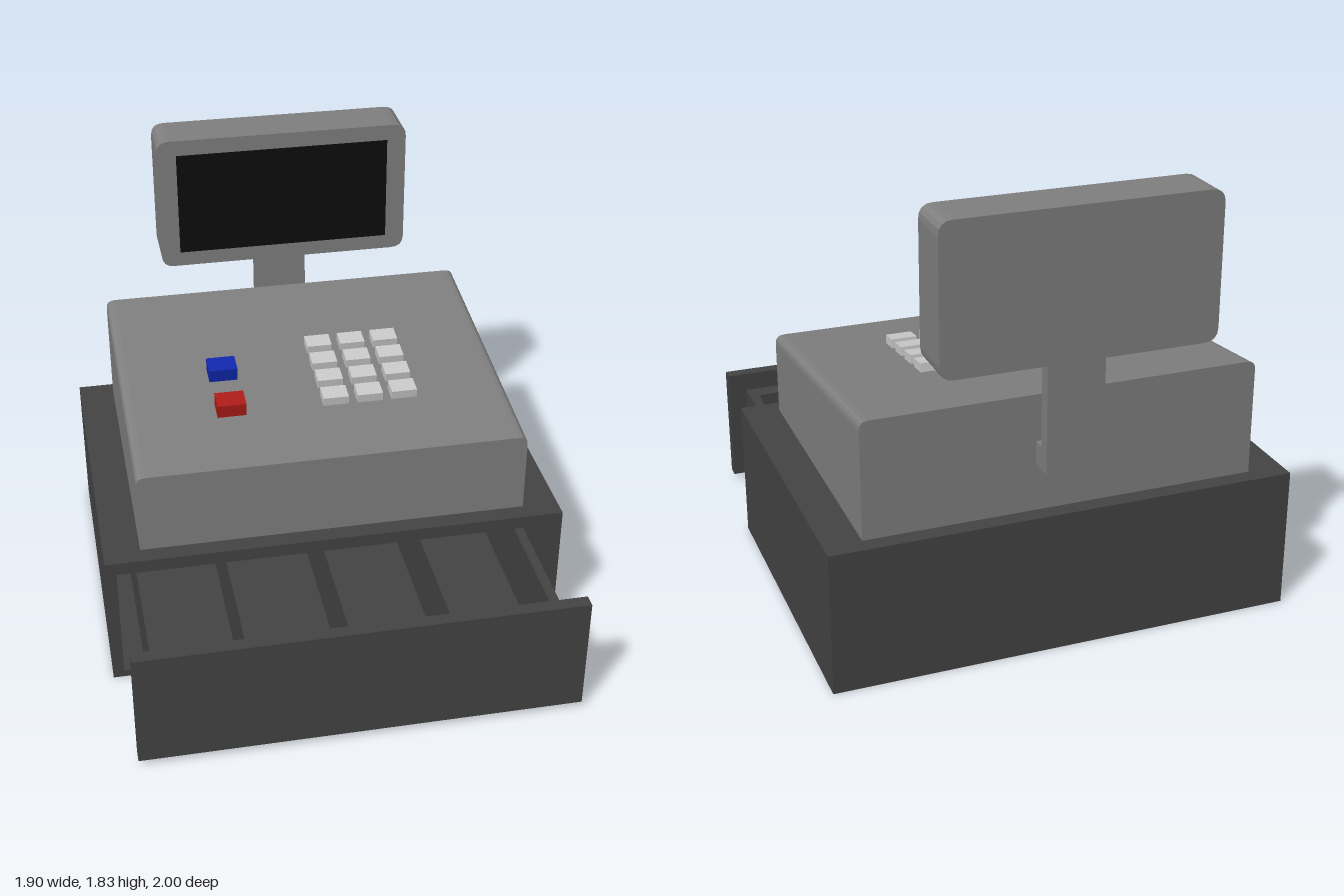
import * as THREE from 'three';

const mat = (color) => new THREE.MeshStandardMaterial({ color });

export function createModel() {
  const model = new THREE.Group();
  const dark = mat(0x444444), grey = mat(0x808080), light = mat(0xcccccc);
  const black = mat(0x0c0c0c), red = mat(0xb01c18), blue = mat(0x1028b0);

  const add = (name, geometry, material, parent = model) => {
    const mesh = new THREE.Mesh(geometry, material);
    mesh.name = name;
    parent.add(mesh);
    return mesh;
  };
  // Box given by its extents on each axis
  const block = (name, x0, x1, y0, y1, z0, z1, material, parent) => {
    const mesh = add(name, new THREE.BoxGeometry(x1 - x0, y1 - y0, z1 - z0), material, parent);
    mesh.position.set((x0 + x1) / 2, (y0 + y1) / 2, (z0 + z1) / 2);
    return mesh;
  };
  // Symmetric rectangle with rounded top and bottom corners
  const outline = (Type, w, y0, y1, rTop = 0, rBottom = 0) => {
    const s = new Type();
    s.moveTo(-w + rBottom, y0);
    s.lineTo(w - rBottom, y0);
    if (rBottom) s.quadraticCurveTo(w, y0, w, y0 + rBottom);
    s.lineTo(w, y1 - rTop);
    if (rTop) s.quadraticCurveTo(w, y1, w - rTop, y1);
    s.lineTo(-w + rTop, y1);
    if (rTop) s.quadraticCurveTo(-w, y1, -w, y1 - rTop);
    s.lineTo(-w, y0 + rBottom);
    if (rBottom) s.quadraticCurveTo(-w, y0, -w + rBottom, y0);
    return s;
  };
  const extrude = (shape, z0, z1) => {
    const g = new THREE.ExtrudeGeometry(shape, { depth: z1 - z0, bevelEnabled: false, curveSegments: 4 });
    return g.translate(0, 0, z0);
  };

  // Cash box housing, open at the front
  const housing = outline(THREE.Shape, 0.95, 0, 0.585);
  housing.holes.push(outline(THREE.Path, 0.905, 0.03, 0.53));
  add('housing', extrude(housing, -0.87, 0.46), dark);
  block('housingBack', -0.95, 0.95, 0, 0.585, -0.92, -0.87, dark);

  // Pulled-out drawer with four compartments
  const drawer = new THREE.Group();
  drawer.name = 'drawer';
  model.add(drawer);
  block('drawerFront', -0.9, 0.9, 0.03, 0.53, 0.945, 1, dark, drawer);
  block('drawerFloor', -0.82, 0.82, 0.1, 0.15, -0.35, 0.945, dark, drawer);
  block('drawerFrontWall', -0.82, 0.82, 0.15, 0.45, 0.865, 0.945, dark, drawer);
  block('drawerBackWall', -0.82, 0.82, 0.15, 0.45, -0.35, -0.27, dark, drawer);
  for (const [x0, x1] of [[-0.82, -0.78], [-0.45, -0.37], [-0.04, 0.04], [0.37, 0.45], [0.78, 0.82]])
    block('drawerDivider', x0, x1, 0.15, 0.45, -0.27, 0.865, dark, drawer);

  // Console with its top sloping up to the back
  const slope = 0.109, front = 0.385;
  const consoleGeo = extrude(outline(THREE.Shape, 0.8, 0.585, 0.93, 0.037), -0.85, front);
  const p = consoleGeo.attributes.position;
  for (let i = 0; i < p.count; i++)
    if (p.getY(i) > 0.7) p.setY(i, p.getY(i) + (front - p.getZ(i)) * slope);
  consoleGeo.computeVertexNormals();
  add('console', consoleGeo, grey);

  // Keys lying on the slope
  const key = (name, x, z, w, h, d, material) => {
    const m = add(name, new THREE.BoxGeometry(w, h * 2, d), material);
    m.position.set(x, 0.93 + (front - z) * slope, z);
    m.rotation.x = Math.atan(slope);
  };
  for (const x of [0.07, 0.215, 0.36])
    for (const z of [-0.355, -0.233, -0.111, 0.011]) key('numberKey', x, z, 0.107, 0.037, 0.08, light);
  key('redKey', -0.367, 0.012, 0.12, 0.057, 0.093, red);
  key('blueKey', -0.367, -0.23, 0.12, 0.057, 0.093, blue);

  // Display on its bracket
  block('bracketFoot', -0.115, 0.115, 0.78, 0.873, -0.9, -0.85, grey);
  block('bracketPost', -0.115, 0.115, 0.78, 1.25, -0.952, -0.9, grey);
  add('display', extrude(outline(THREE.Shape, 0.545, 1.24, 1.83, 0.055, 0.055), -1, -0.79), grey);
  block('screen', -0.462, 0.462, 1.305, 1.762, -0.8, -0.787, black);

  return model;
}
